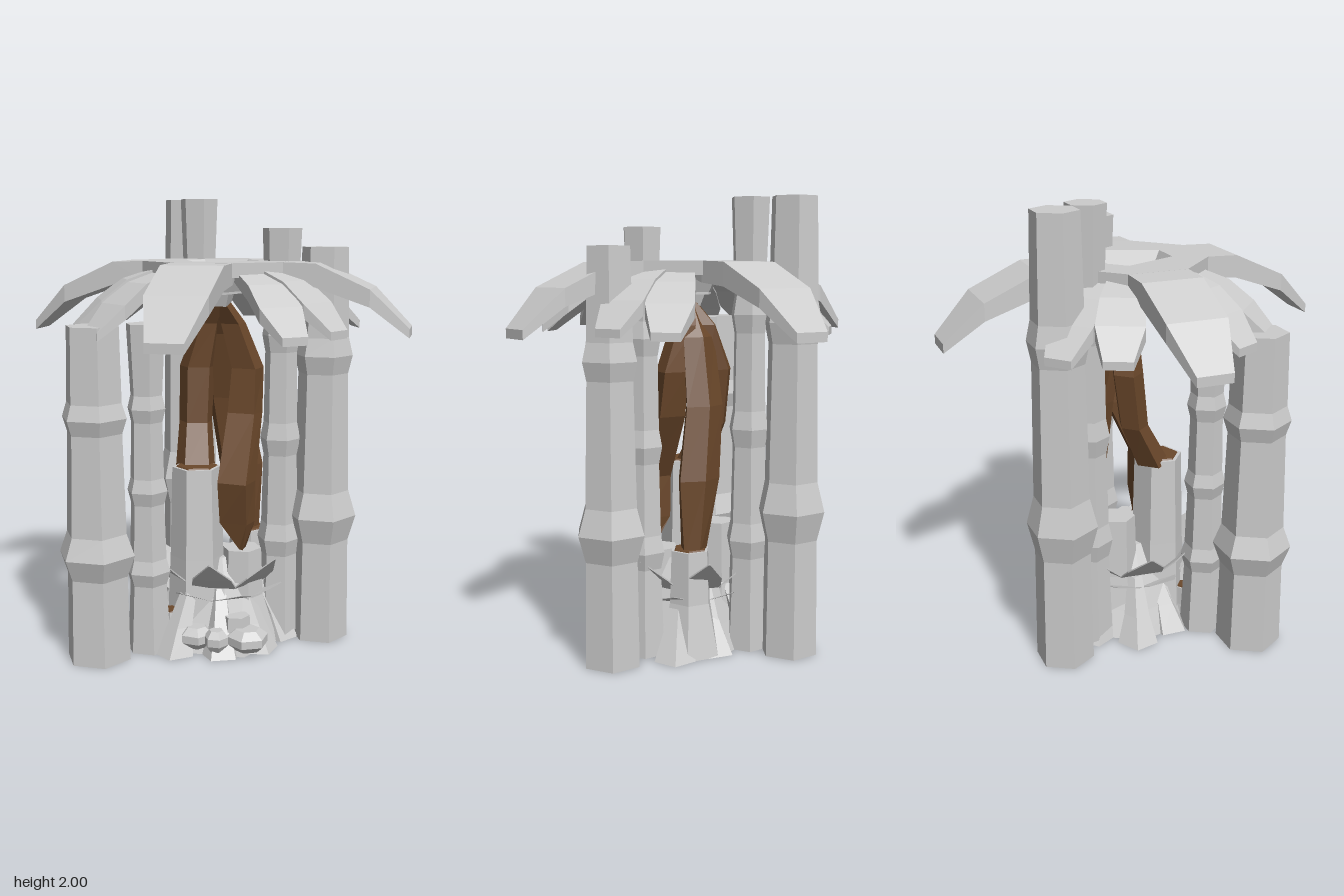
import * as THREE from 'three';

const grey = new THREE.MeshStandardMaterial({ color: 0xcccccc, side: THREE.DoubleSide });
grey.name = 'pale grey';
const brown = new THREE.MeshStandardMaterial({ color: 0x6b482b, side: THREE.DoubleSide });
brown.name = 'bark brown';

// Faceted skin through equal rings of points, with optional flat ends
function loft(rings, capped = true) {
  const pos = [];
  const tri = (...pts) => pts.forEach((p) => pos.push(...p));
  const n = rings[0].length;
  for (let i = 0; i < rings.length - 1; i++) {
    for (let j = 0; j < n; j++) {
      const k = (j + 1) % n, a = rings[i], b = rings[i + 1];
      tri(a[j], a[k], b[k]);
      tri(a[j], b[k], b[j]);
    }
  }
  if (capped) {
    const first = rings[0], last = rings[rings.length - 1];
    for (let j = 1; j < n - 1; j++) {
      tri(first[0], first[j + 1], first[j]);
      tri(last[0], last[j], last[j + 1]);
    }
  }
  const g = new THREE.BufferGeometry();
  g.setAttribute('position', new THREE.Float32BufferAttribute(pos, 3));
  g.computeVertexNormals();
  return g;
}

// Level polygons stacked upward; each row is [x, y, z, radius x, radius z]
function stack(rows, sides = 6, phase = 0) {
  return loft(rows.map(([x, y, z, rx, rz = rx]) =>
    Array.from({ length: sides }, (_, j) => {
      const a = phase + (j / sides) * Math.PI * 2;
      return [x + rx * Math.cos(a), y, z - rz * Math.sin(a)];
    })));
}

// Flat blade running along +x; each row is [x, top y, thickness, half width]
function blade(rows) {
  return loft(rows.map(([x, y, t, w]) => [[x, y, w], [x, y - t, w], [x, y - t, -w], [x, y, -w]]));
}

export function createModel() {
  const model = new THREE.Group();
  const add = (name, geometry, material = grey) => {
    const mesh = new THREE.Mesh(geometry, material);
    mesh.name = name;
    model.add(mesh);
    return mesh;
  };

  // Thick and thin jointed canes: [x, z, height, base, bulge, neck, top radius]
  const thick = [
    [-0.445, 0.41, 1.47, 0.146, 0.173, 0.125, 0.118],
    [0.458, -0.095, 1.79, 0.133, 0.16, 0.112, 0.102],
    [-0.265, -0.42, 2.0, 0.13, 0.156, 0.112, 0.102],
  ];
  for (const [x, z, h, base, bulge, neck, top] of thick) {
    const profile = [[0, base], [0.26, base * 0.95], [0.325, bulge], [0.39, base * 0.94],
      [0.69, neck], [0.735, neck * 1.17], [0.78, neck], [1, top]];
    add('thickCane', stack(profile.map(([f, r]) => [x, f * h, z, r])));
  }
  const thin = [[-0.26, 0.26, 1.47], [0.272, -0.06, 1.87], [-0.158, -0.255, 2.0]];
  for (const [x, z, h] of thin) {
    const profile = [[0, 0.1]];
    for (const [f, r] of [[0.25, 0.085], [0.5, 0.077], [0.75, 0.072]]) {
      profile.push([f - 0.04, r], [f, r * 1.2], [f + 0.04, r]);
    }
    profile.push([1, 0.088]);
    add('thinCane', stack(profile.map(([f, r]) => [x, f * h, z, r])));
  }

  // Crown hub with an open centre
  const hub = new THREE.Shape(Array.from({ length: 8 }, (_, i) => {
    const a = (i + 0.5) * Math.PI / 4;
    return new THREE.Vector2(0.34 * Math.cos(a), 0.34 * Math.sin(a));
  }));
  const mouth = [[-0.1, 0.14], [0.1, 0.14], [0.17, 0.07], [0.07, -0.17], [-0.07, -0.17], [-0.17, 0.07]];
  hub.holes.push(new THREE.Path(mouth.map(([x, y]) => new THREE.Vector2(x, y))));
  const hubGeometry = new THREE.ExtrudeGeometry(hub, { depth: 0.06, bevelEnabled: false });
  hubGeometry.rotateX(-Math.PI / 2).translate(0, 1.67, 0);
  add('crownHub', hubGeometry);
  const mouthRing = (y, s) => mouth.slice().reverse().map(([x, z]) => [x * s, y, -z * s]);
  add('crownFunnel', loft([mouthRing(1.595, 0.6), mouthRing(1.73, 1)], false));
  add('crownFloor', loft([mouthRing(1.585, 0.6), mouthRing(1.595, 0.6)]));
  add('crownCup', stack([[0, 1.53, 0, 0.06], [0, 1.65, 0, 0.105], [0, 1.65, 0, 0.085], [0, 1.61, 0, 0.075]],
    4, Math.PI / 4));

  // Four long fronds and a pair of short ones in each quarter
  const longFrond = blade([[0.18, 1.73, 0.06, 0.12], [0.3, 1.73, 0.09, 0.133], [0.45, 1.725, 0.1, 0.133],
    [0.68, 1.62, 0.075, 0.13], [0.845, 1.455, 0.04, 0.078]]);
  const shortFrond = blade([[0.22, 1.73, 0.05, 0.06], [0.42, 1.66, 0.065, 0.09],
    [0.53, 1.575, 0.06, 0.1], [0.64, 1.465, 0.035, 0.06]]);
  for (let q = 0; q < 4; q++) {
    add('longFrond', longFrond).rotation.y = q * Math.PI / 2;
  }
  for (const sx of [-1, 1]) {
    for (const sz of [-1, 1]) {
      for (const [deg, drop] of [[26, -0.005], [48, -0.015]]) {
        const a = deg * Math.PI / 180;
        const frond = add('shortFrond', shortFrond);
        frond.rotation.y = Math.atan2(-sz * Math.sin(a), sx * Math.cos(a));
        frond.position.y = drop;
      }
    }
  }

  // Twisted bark strands hanging from the crown cup
  add('frontStrand', stack([[0.135, 0.45, 0.1, 0.012, 0.045], [0.11, 0.57, 0.1, 0.09, 0.06],
    [0.11, 0.76, 0.115, 0.095, 0.08], [0.115, 1.05, -0.03, 0.09, 0.06], [0.12, 1.25, -0.06, 0.08, 0.07],
    [0.055, 1.45, -0.05, 0.06, 0.06], [0, 1.56, 0, 0.045]], 4, Math.PI / 5), brown);
  add('leftStrand', stack([[-0.09, 0.8, 0.07, 0.095, 0.08], [-0.115, 1.0, -0.03, 0.08, 0.065],
    [-0.115, 1.25, -0.06, 0.085, 0.07], [-0.06, 1.45, -0.05, 0.06, 0.06], [0, 1.56, 0, 0.045]], 5, 0.6), brown);
  add('backStrand', stack([[0.09, 0.45, -0.18, 0.06, 0.05], [0.06, 0.78, -0.17, 0.11, 0.065],
    [0.01, 1.1, -0.14, 0.1, 0.055], [0, 1.4, -0.08, 0.085, 0.05], [0, 1.56, 0, 0.04]], 5, 0.3), brown);

  // Stumps: [x, z, height, base radius, top radius, exposed wood on top]
  const stumps = [[-0.075, 0.11, 0.82, 0.14, 0.11, true], [0.1, -0.17, 0.47, 0.15, 0.09, true],
    [0.12, 0.05, 0.44, 0.17, 0.09, false], [-0.165, 0.21, 0.17, 0.07, 0.05, true],
    [-0.1, -0.1, 0.56, 0.13, 0.08, false], [0.13, 0.2, 0.17, 0.09, 0.06, false]];
  for (const [x, z, h, base, top, wood] of stumps) {
    add('stump', stack([[x, 0, z, base], [x, h * 0.5, z, top * 1.1], [x, h, z, top]], 6, x * 9));
    if (wood) add('stumpWood', stack([[x, h, z, top * 0.85], [x, h + 0.006, z, top * 0.8]], 6, x * 9), brown);
  }

  // Rooted mound
  add('mound', stack([[0, 0, 0, 0.3], [0, 0.12, 0, 0.25], [0, 0.3, 0, 0.18], [0, 0.4, 0, 0.12]], 9, 0.2));
  for (let i = 0; i < 9; i++) {
    const a = (i / 9) * Math.PI * 2 + 0.1;
    const reach = 0.28 + 0.04 * Math.sin(i * 2.3);
    const at = (r, y, s) => [r * Math.cos(a), y, -r * Math.sin(a), s];
    add('root', stack([at(reach, 0, 0.095), at(reach - 0.04, 0.12, 0.06), at(reach - 0.11, 0.28, 0.035)], 5, i));
  }

  // Pointed leaves around the mound, in two tiers
  const pointedLeaf = blade([[0.08, 0.01, 0.008, 0.03], [0.2, 0, 0.008, 0.1], [0.27, 0.06, 0.008, 0.085],
    [0.36, 0.15, 0.006, 0.004]]);
  for (let i = 0; i < 14; i++) {
    const leaf = add('pointedLeaf', pointedLeaf);
    const upper = i % 2 === 0;
    leaf.rotation.y = i * Math.PI / 7 + 0.35;
    leaf.position.y = upper ? 0.29 : 0.22;
    leaf.scale.set(upper ? 0.98 : 0.85, upper ? 1 : 0.4, 1);
  }

  // Squat faceted buds nestled at the foot
  for (const [x, z, s] of [[-0.04, 0.26, 1], [0.19, 0.24, 1.2], [0.06, 0.29, 0.7]]) {
    add('bud', stack([[x, 0.03, z, 0.05 * s], [x, 0.06, z, 0.078 * s],
      [x, 0.095, z, 0.078 * s], [x, 0.125, z, 0.045 * s]], 6, s * 3));
  }
  return model;
}
